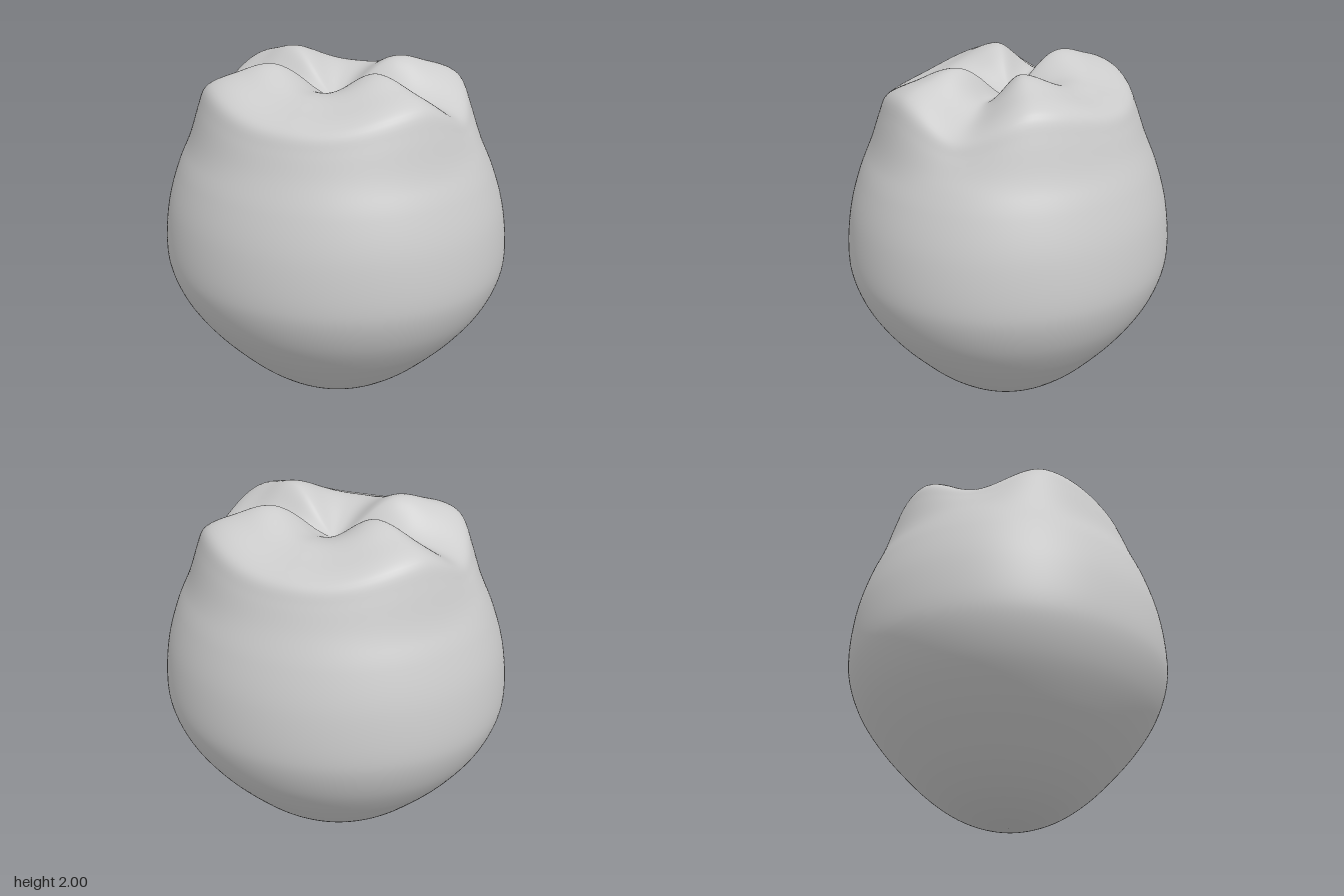
import * as THREE from 'three';
import { mergeVertices } from 'three/addons/utils/BufferGeometryUtils.js';

const smooth = THREE.MathUtils.smoothstep;
const RIDGE = THREE.MathUtils.degToRad(34); // angle of the four ridges from the x axis

// Height change around the top: four ridges, narrow side grooves, broad front and back hollows
function lift(x, z) {
  const a = Math.atan2(Math.abs(z), Math.abs(x));
  if (a < RIDGE) return -0.05 + 0.15 * smooth(a, 0, RIDGE);
  const t = (Math.PI / 2 - a) / (Math.PI / 2 - RIDGE);
  return 0.1 * Math.pow(smooth(t, 0, 1), 1.4);
}

export function createModel() {
  const group = new THREE.Group();
  group.name = 'bud';

  // Profile from the rounded base, over the shoulder and into the dimple
  const profile = new THREE.CatmullRomCurve3([
    [0, 0], [0.17, 0.025], [0.34, 0.09], [0.5, 0.195], [0.64, 0.32], [0.79, 0.48],
    [0.91, 0.65], [0.975, 0.81], [0.99, 0.93], [0.965, 1.18], [0.9, 1.4],
    [0.82, 1.58], [0.77, 1.7], [0.73, 1.78], [0.67, 1.82], [0.55, 1.86],
    [0.4, 1.9], [0.25, 1.88], [0.1, 1.82], [0, 1.78],
  ].map(([r, y]) => new THREE.Vector3(r, y, 0)));
  const points = profile.getSpacedPoints(160).map((p) => new THREE.Vector2(Math.max(p.x, 0), p.y));

  // Revolve, flatten slightly front to back, and raise the ridges
  let geometry = new THREE.LatheGeometry(points, 180);
  const pos = geometry.attributes.position;
  for (let i = 0; i < pos.count; i++) {
    const x = pos.getX(i), y = pos.getY(i), z = pos.getZ(i);
    const r = Math.hypot(x, z);
    const weight = smooth(y, 1.5, 1.82) * smooth(r, 0, 0.36);
    const inner = r < 0.4 ? smooth(r, 0, 0.36) : weight;
    pos.setXYZ(i, x, y > 1.5 ? y + lift(x, z) * inner : y, z * 0.925);
  }

  // Weld the seam so shading stays smooth
  geometry.deleteAttribute('uv');
  geometry.deleteAttribute('normal');
  geometry = mergeVertices(geometry, 1e-5);
  geometry.computeVertexNormals();

  const body = new THREE.Mesh(geometry, new THREE.MeshStandardMaterial({ color: 0xcccccc }));
  body.name = 'budBody';
  group.add(body);
  return group;
}
